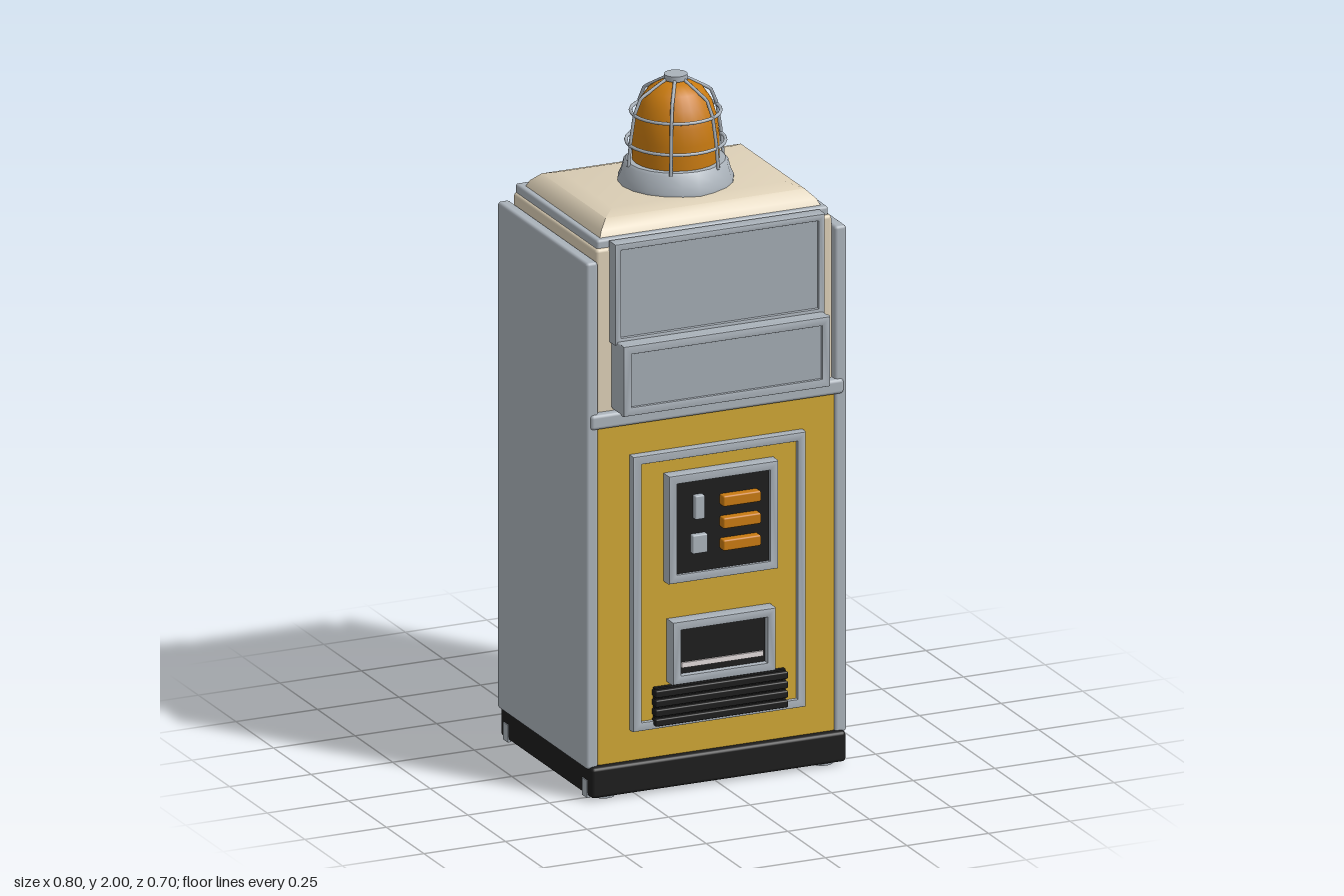
import * as THREE from 'three';
import { toCreasedNormals } from 'three/addons/utils/BufferGeometryUtils.js';
import { RoundedBoxGeometry } from 'three/addons/geometries/RoundedBoxGeometry.js';

const mat = (name, color) => Object.assign(new THREE.MeshStandardMaterial({ color }), { name });

export function createModel() {
  const grey = mat('steel grey', 0xaab2ba);
  const panelGrey = mat('panel grey', 0xa3abb3);
  const yellow = mat('cabinet yellow', 0xcfa634);
  const cream = mat('cream', 0xdccfb6);
  const amber = mat('amber', 0xc87a10);
  const black = mat('black', 0x1c1c1c);
  const white = mat('paper white', 0xe4dcdc);

  const model = new THREE.Group();
  model.name = 'beaconKiosk';

  const add = (name, geometry, material, x = 0, y = 0, z = 0) => {
    const mesh = new THREE.Mesh(geometry, material);
    mesh.name = name;
    mesh.position.set(x, y, z);
    model.add(mesh);
    return mesh;
  };
  // Box given by its limits on each axis, with softly rounded edges
  const box = (name, material, [x0, x1], [y0, y1], [z0, z1], r = 0.006) =>
    add(name, r ? new RoundedBoxGeometry(x1 - x0, y1 - y0, z1 - z0, 2, r)
      : new THREE.BoxGeometry(x1 - x0, y1 - y0, z1 - z0),
    material, (x0 + x1) / 2, (y0 + y1) / 2, (z0 + z1) / 2);
  const rectangle = (Type, x, y, w, h) => new Type([
    [x, y], [x + w, y], [x + w, y + h], [x, y + h]].map(p => new THREE.Vector2(...p)));
  // Bevelled rectangular frame facing +z
  const frame = (name, material, [x0, x1], [y0, y1], [z0, z1], t) => {
    const b = 0.005;
    const shape = rectangle(THREE.Shape, x0 + b, y0 + b, x1 - x0 - 2 * b, y1 - y0 - 2 * b);
    shape.holes.push(rectangle(THREE.Path, x0 + t - b, y0 + t - b,
      x1 - x0 - 2 * t + 2 * b, y1 - y0 - 2 * t + 2 * b));
    const g = new THREE.ExtrudeGeometry(shape, {
      depth: z1 - z0 - 2 * b, bevelThickness: b, bevelSize: b, bevelSegments: 2 });
    return add(name, toCreasedNormals(g, 0.7), material, 0, 0, z0 + b);
  };

  // Plinth with feet and corner brackets
  box('base', black, [-0.39, 0.39], [0.008, 0.097], [-0.315, 0.295], 0.01);
  for (const sx of [-1, 1]) {
    for (const z of [0.25, -0.275]) {
      add('foot', new THREE.CylinderGeometry(0.032, 0.032, 0.014, 16), grey, sx * 0.335, 0.007, z);
      box('footBracket', grey, [sx * 0.388 - 0.005, sx * 0.388 + 0.005], [0.004, 0.055],
        [z - 0.016, z + 0.016], 0);
    }
    box('sidePanel', grey, [sx * 0.381 - 0.018, sx * 0.381 + 0.018], [0.09, 1.58], [-0.317, 0.278], 0.009);
  }

  // Cabinet body
  box('lowerBody', yellow, [-0.366, 0.366], [0.09, 1.1], [-0.303, 0.272], 0.01);
  box('upperBody', cream, [-0.362, 0.362], [1.09, 1.61], [-0.292, 0.262], 0.01);
  box('frontRail', grey, [-0.388, 0.388], [1.088, 1.132], [0.235, 0.286], 0.01);
  box('backRail', grey, [-0.385, 0.385], [1.088, 1.132], [-0.32, -0.28], 0.01);
  box('roofRim', grey, [-0.355, 0.355], [1.6, 1.634], [-0.294, 0.252], 0.008);

  // Roof: rectangular cross-sections rising to a flat top
  const levels = [[0.342, 0.251, 1.625], [0.33, 0.238, 1.652], [0.305, 0.212, 1.677], [0.265, 0.17, 1.69]];
  const corners = [[1, 1], [1, -1], [-1, -1], [-1, 1]];
  const point = (level, i) => {
    const [hx, hz, y] = levels[level];
    return [corners[i % 4][0] * hx, y, corners[i % 4][1] * hz - 0.012];
  };
  const roof = [];
  const quad = (a, b, c, d) => roof.push(...a, ...b, ...c, ...a, ...c, ...d);
  for (let l = 0; l < levels.length - 1; l++)
    for (let i = 0; i < 4; i++)
      quad(point(l, i), point(l, i + 1), point(l + 1, i + 1), point(l + 1, i));
  quad(...[0, 1, 2, 3].map(i => point(levels.length - 1, i)));
  const roofGeometry = new THREE.BufferGeometry();
  roofGeometry.setAttribute('position', new THREE.Float32BufferAttribute(roof, 3));
  add('roof', toCreasedNormals(roofGeometry, 0.6), cream);

  // Beacon: collar, amber dome and wire cage
  const lathe = (points, segments) => new THREE.LatheGeometry(points.map(p => new THREE.Vector2(...p)), segments);
  const bz = 0.005;
  add('beaconCollar', toCreasedNormals(lathe([[0.163, 1.685], [0.163, 1.698], [0.155, 1.715],
    [0.147, 1.745], [0.14, 1.752], [0, 1.752]], 20), 0.6), grey, 0, 0, bz);
  add('beaconDome', lathe([[0.122, 1.745], [0.122, 1.82], [0.117, 1.87], [0.102, 1.92],
    [0.078, 1.955], [0.042, 1.977], [0, 1.983]], 28), amber, 0, 0, bz);
  const barPath = new THREE.CurvePath();
  const barPoints = [[0.145, 1.745], [0.138, 1.82], [0.126, 1.895], [0.107, 1.94], [0.025, 1.988]]
    .map(([x, y]) => new THREE.Vector3(x, y, 0));
  for (let i = 1; i < barPoints.length; i++) barPath.add(new THREE.LineCurve3(barPoints[i - 1], barPoints[i]));
  const barGeometry = new THREE.TubeGeometry(barPath, 24, 0.005, 8);
  for (let i = 0; i < 6; i++) add('cageBar', barGeometry, grey, 0, 0, bz).rotation.y = i * Math.PI / 3;
  for (const [r, y] of [[0.139, 1.805], [0.126, 1.892]])
    add('cageRing', new THREE.TorusGeometry(r, 0.005, 8, 28), grey, 0, y, bz).rotation.x = Math.PI / 2;
  add('cageCap', new THREE.CylinderGeometry(0.033, 0.033, 0.016, 20), grey, 0, 1.991, bz);

  // Upper sign and projecting display box
  box('signPanel', panelGrey, [-0.31, 0.31], [1.345, 1.62], [0.255, 0.293], 0);
  frame('signFrame', grey, [-0.322, 0.322], [1.335, 1.632], [0.255, 0.302], 0.02);
  box('displayBox', grey, [-0.317, 0.317], [1.138, 1.345], [0.262, 0.338], 0.006);
  frame('displayFrame', grey, [-0.317, 0.317], [1.138, 1.345], [0.325, 0.348], 0.026);
  box('displayPanel', panelGrey, [-0.292, 0.292], [1.163, 1.32], [0.334, 0.341], 0);

  // Front service door
  box('doorPanel', yellow, [-0.25, 0.25], [0.2, 0.99], [0.265, 0.288], 0);
  frame('doorFrame', grey, [-0.265, 0.265], [0.188, 0.998], [0.262, 0.299], 0.026);

  // Control screen
  frame('screenFrame', grey, [-0.168, 0.168], [0.617, 0.935], [0.28, 0.326], 0.026);
  box('screen', black, [-0.15, 0.15], [0.635, 0.92], [0.28, 0.319], 0);
  box('switch', grey, [-0.092, -0.062], [0.8, 0.87], [0.315, 0.336], 0.004);
  box('keyhole', grey, [-0.1, -0.053], [0.7, 0.755], [0.315, 0.336], 0.004);
  for (const y of [0.845, 0.78, 0.715])
    box('amberButton', amber, [-0.01, 0.106], [y - 0.016, y + 0.016], [0.315, 0.345], 0.005);

  // Dispensing slot
  frame('slotFrame', grey, [-0.158, 0.158], [0.32, 0.505], [0.28, 0.33], 0.026);
  box('slotRecess', black, [-0.14, 0.14], [0.335, 0.49], [0.28, 0.312], 0);
  box('ticketStrip', white, [-0.125, 0.125], [0.364, 0.379], [0.31, 0.318], 0);

  // Vent slats over a dark backing
  box('ventBacking', black, [-0.2, 0.2], [0.2, 0.31], [0.28, 0.3], 0);
  for (let i = 0; i < 4; i++)
    box('ventSlat', black, [-0.203, 0.203], [0.2 + i * 0.028, 0.221 + i * 0.028], [0.285, 0.314], 0.004);

  // Rear power box and cable
  box('powerBox', black, [0.05, 0.28], [0.41, 0.68], [-0.342, -0.295], 0.01);
  const cable = new THREE.CatmullRomCurve3([[0.165, 0.42, -0.318], [0.165, 0.31, -0.326],
    [0.17, 0.21, -0.336], [0.17, 0.12, -0.332], [0.165, 0.03, -0.316]].map(p => new THREE.Vector3(...p)));
  add('powerCable', new THREE.TubeGeometry(cable, 16, 0.013, 8), black);

  return model;
}
